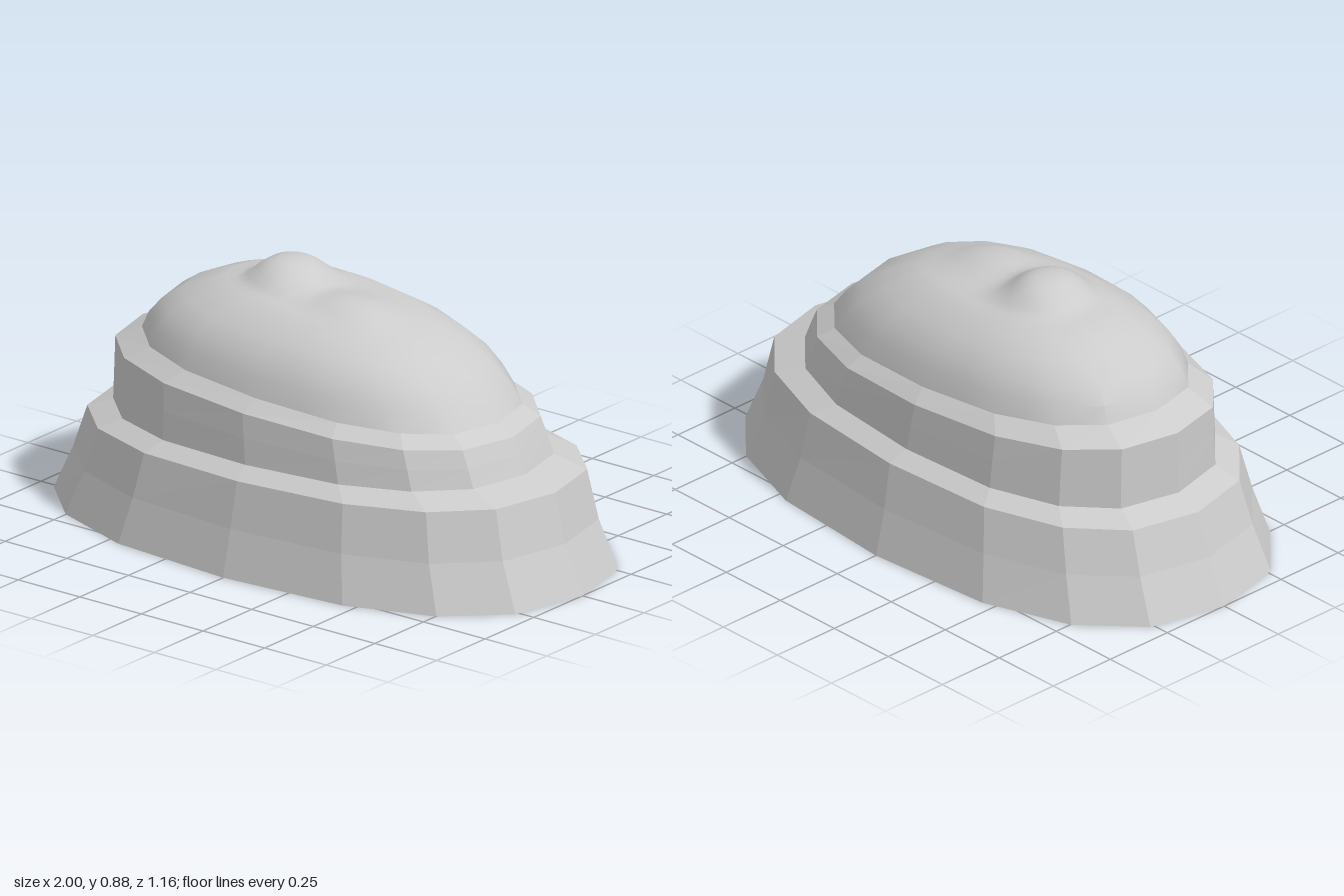
import * as THREE from 'three';
import { mergeVertices, toCreasedNormals } from 'three/addons/utils/BufferGeometryUtils.js';

const SIDES = 16;

// Corner of a slightly squared, unit-size oval
function corner(i) {
  const a = (i / SIDES) * Math.PI * 2;
  const soft = (v) => (Math.abs(v) < 1e-6 ? 0 : Math.sign(v) * Math.abs(v) ** 0.82);
  return [soft(Math.cos(a)), soft(Math.sin(a))];
}

// Tilted oval ring: [left x, right x, left y, right y, middle y, half depth]
function ring([xl, xr, yl, yr, ym, depth], split = 1) {
  const points = [];
  for (let i = 0; i < SIDES * split; i++) {
    const k = Math.floor(i / split), f = (i % split) / split;
    const [p, q] = [corner(k), corner(k + 1)];
    const u = p[0] + (q[0] - p[0]) * f, w = p[1] + (q[1] - p[1]) * f;
    const x = (xl + xr) / 2 + (u * (xr - xl)) / 2;
    const y = ym + (u * (yr - yl)) / 2 + u * u * ((yl + yr) / 2 - ym);
    points.push([x, y, w * depth]);
  }
  return points;
}

// Skin a stack of rings, optionally closing the bottom
function loft(rings, closeBottom = false) {
  const n = rings[0].length, index = [];
  const positions = rings.flat(2);
  for (let r = 0; r < rings.length - 1; r++) {
    for (let i = 0; i < n; i++) {
      const a = r * n + i, b = r * n + ((i + 1) % n);
      index.push(a, a + n, b, b, a + n, b + n);
    }
  }
  if (closeBottom) {
    const centre = positions.length / 3;
    positions.push(0, 0, 0);
    for (let i = 0; i < n; i++) index.push(centre, i, (i + 1) % n);
  }
  const geometry = new THREE.BufferGeometry();
  geometry.setAttribute('position', new THREE.Float32BufferAttribute(positions, 3));
  geometry.setIndex(index);
  return geometry;
}

// Height of the two soft mounds on the crown
function mounds(x, z) {
  const bump = (cx, cz, sx, sz, p) =>
    Math.exp(-((((x - cx) / sx) ** 2 + ((z - cz) / sz) ** 2) ** p));
  return 0.087 * bump(-0.185, 0, 0.125, 0.14, 1.6) + 0.028 * bump(0.11, 0.06, 0.15, 0.11, 1.3);
}

export function createModel() {
  const group = new THREE.Group();
  const add = (name, geometry, flatShading) => {
    const material = new THREE.MeshStandardMaterial({ color: 0xcccccc, flatShading });
    const mesh = new THREE.Mesh(geometry, material);
    mesh.name = name;
    group.add(mesh);
  };

  // Lower tier with its ledge
  const ledge = [-0.79, 0.77, 0.33, 0.36, 0.345, 0.455];
  add('lowerTier', loft([
    [-1, 1, 0, 0, 0, 0.58],
    [-0.93, 0.93, 0.15, 0.16, 0.155, 0.543],
    [-0.88, 0.89, 0.295, 0.325, 0.31, 0.515],
    ledge,
  ].map((r) => ring(r)), true), true);

  // Middle tier with its ledge
  const domeFoot = [-0.69, 0.66, 0.59, 0.51, 0.55, 0.39];
  add('middleTier', loft([
    ledge,
    [-0.787, 0.745, 0.44, 0.42, 0.43, 0.448],
    [-0.785, 0.72, 0.545, 0.475, 0.51, 0.44],
    domeFoot,
  ].map((r) => ring(r)), false), true);

  // Rounded dome
  const domeRings = [
    domeFoot,
    [-0.665, 0.61, 0.645, 0.575, 0.61, 0.373],
    [-0.62, 0.55, 0.695, 0.635, 0.667, 0.345],
    [-0.55, 0.46, 0.742, 0.69, 0.722, 0.3],
    [-0.47, 0.41, 0.775, 0.718, 0.758, 0.245],
    [-0.4, 0.35, 0.8, 0.743, 0.785, 0.2],
  ].map((r) => ring(r, 2));

  // Crown: shrink the last ring to a point and raise the mounds
  const rim = domeRings[domeRings.length - 1];
  const steps = 10;
  for (let s = 1; s <= steps; s++) {
    const t = 1 - s / steps;
    domeRings.push(rim.map(([rx, ry, rz]) => {
      const x = -0.03 + (rx + 0.03) * t, z = rz * t;
      const base = 0.793 + (ry - 0.793) * t ** 2.5;
      return [x, base + mounds(x, z) * Math.min(1, (1 - t) * 4), z];
    }));
  }
  add('dome', toCreasedNormals(mergeVertices(loft(domeRings)), 0.6), false);

  return group;
}
